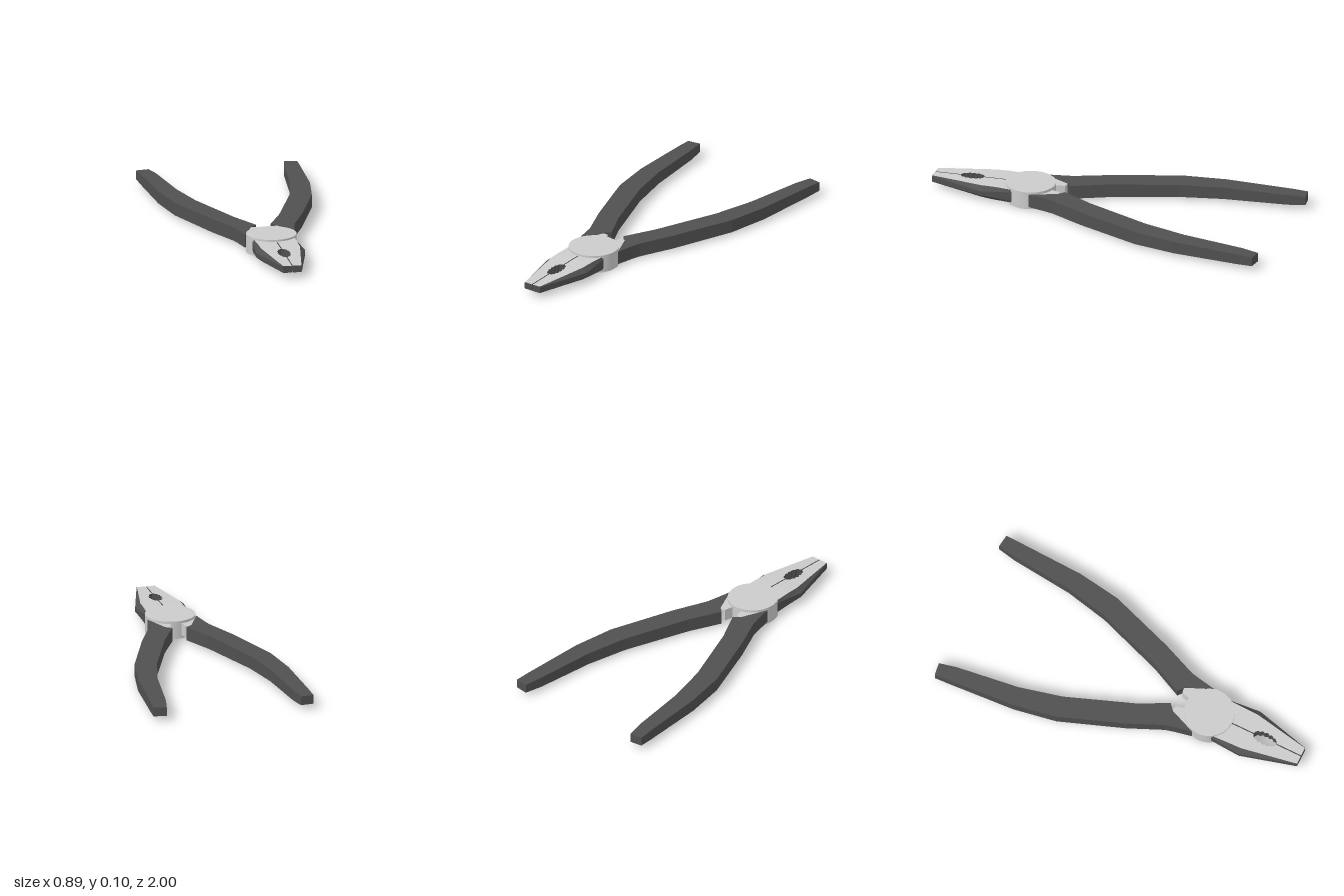
import * as THREE from 'three';

const MID = 0.052; // height of the tool's mid-plane
const steel = new THREE.MeshStandardMaterial({ color: 0xcccccc, flatShading: true });
const smoothSteel = new THREE.MeshStandardMaterial({ color: 0xcccccc });
const dark = new THREE.MeshStandardMaterial({ color: 0x505050, flatShading: true });

// Skins chosen edges of equal-length rings (counter-clockwise seen from +z,
// listed towards +z); side -1 mirrors the part in x.
function loft(name, rings, edges, caps, side, material) {
  const pos = [];
  const tri = (a, b, c) => {
    for (const p of side > 0 ? [a, b, c] : [a, c, b]) pos.push(p[0] * side, p[1], p[2]);
  };
  const n = rings[0].length;
  for (let k = 0; k + 1 < rings.length; k++) {
    const a = rings[k], b = rings[k + 1];
    for (const i of edges) {
      const j = (i + 1) % n;
      tri(a[i], a[j], b[j]);
      tri(a[i], b[j], b[i]);
    }
  }
  if (caps) {
    const first = rings[0], last = rings[rings.length - 1];
    for (let i = 1; i + 1 < n; i++) {
      tri(first[0], first[i + 1], first[i]);
      tri(last[0], last[i], last[i + 1]);
    }
  }
  const geo = new THREE.BufferGeometry();
  geo.setAttribute('position', new THREE.Float32BufferAttribute(pos, 3));
  geo.computeVertexNormals();
  const mesh = new THREE.Mesh(geo, material);
  mesh.name = name;
  return mesh;
}

// Linear lookup in a list of [z, value] pairs
function lerpAt(keys, z) {
  for (let i = 1; i < keys.length; i++) {
    const [z0, v0] = keys[i - 1], [z1, v1] = keys[i];
    if (z <= z1) return v0 + (v1 - v0) * (z - z0) / (z1 - z0);
  }
  return keys[keys.length - 1][1];
}

// Half width of the toothed pipe-grip opening between the jaws
const GRIP0 = 0.715, GRIP1 = 0.85;
function gripWidth(z) {
  const t = (z - GRIP0) / (GRIP1 - GRIP0);
  if (t <= 0 || t >= 1) return 0.003;
  const oval = Math.sqrt(1 - (2 * t - 1) ** 2);
  return 0.003 + oval * (0.025 + 0.008 * Math.abs(Math.sin(t * Math.PI * 5)));
}

function makeJaw(side) {
  const jaw = new THREE.Group();
  jaw.name = side > 0 ? 'leftJaw' : 'rightJaw';
  const topX = [[0.45, 0.115], [0.69, 0.107], [1, 0.05]];
  const sideX = [[0.45, 0.112], [0.5, 0.117], [0.69, 0.136], [1, 0.052]];
  const halfH = [[0.45, 0.038], [0.62, 0.038], [1, 0.019]];
  const sideH = [[0.45, 0.03], [0.69, 0.012], [1, 0.016]];

  const stations = [0.45, 0.5, 0.62, 0.69];
  for (let i = 0; i <= 40; i++) stations.push(GRIP0 + (GRIP1 - GRIP0) * i / 40);
  stations.push(1);

  const rings = stations.map(z => {
    const w = gripWidth(z), t = lerpAt(topX, z), s = lerpAt(sideX, z);
    const h = lerpAt(halfH, z), m = lerpAt(sideH, z);
    return [[w, MID - h, z], [t, MID - h, z], [s, MID - m, z],
      [s, MID + m, z], [t, MID + h, z], [w, MID + h, z]];
  });
  jaw.add(loft('jawFaces', rings, [0, 4], false, side, steel));
  jaw.add(loft('jawSides', rings, [1, 2, 3, 5], true, side, dark));
  return jaw;
}

function makeHandle(side) {
  // inner x, z, outer x, z, half height
  const sections = [
    [0.375, -1.0, 0.446, -0.99, 0.025],
    [0.355, -0.9, 0.441, -0.9, 0.029],
    [0.315, -0.55, 0.42, -0.53, 0.034],
    [0.26, -0.31, 0.38, -0.29, 0.036],
    [0.125, 0.06, 0.25, 0.07, 0.038],
    [0.04, 0.235, 0.168, 0.26, 0.038],
    [0.075, 0.265, 0.156, 0.31, 0.038],
    [0.13, 0.395, 0.137, 0.41, 0.037],
  ];
  const rings = sections.map(([xi, zi, xo, zo, h]) => [
    [xi, MID - h, zi], [xo, MID - h, zo], [xo, MID + h, zo], [xi, MID + h, zi],
  ]);
  return loft(side > 0 ? 'leftHandle' : 'rightHandle', rings, [0, 1, 2, 3], true, side, dark);
}

// Steel tang joining a handle to the pivot
function makeTang(side) {
  const outline = [[0.03, 0.32], [0.042, 0.265], [0.08, 0.258], [0.13, 0.4], [0.05, 0.43]];
  const shape = new THREE.Shape(outline.map(([x, z]) => new THREE.Vector2(x * side, -z)));
  const geo = new THREE.ExtrudeGeometry(shape, { depth: 0.068, bevelEnabled: false });
  geo.rotateX(-Math.PI / 2);
  const mesh = new THREE.Mesh(geo, steel);
  mesh.position.y = MID - 0.034;
  mesh.name = side > 0 ? 'leftTang' : 'rightTang';
  return mesh;
}

export function createModel() {
  const model = new THREE.Group();
  model.name = 'pliers';

  // Round pivot joint
  const pivot = new THREE.Mesh(new THREE.CylinderGeometry(0.137, 0.137, 0.1, 48), smoothSteel);
  pivot.position.set(0, 0.05, 0.447);
  pivot.name = 'pivot';
  model.add(pivot);

  for (const side of [1, -1]) model.add(makeJaw(side), makeHandle(side), makeTang(side));
  return model;
}
